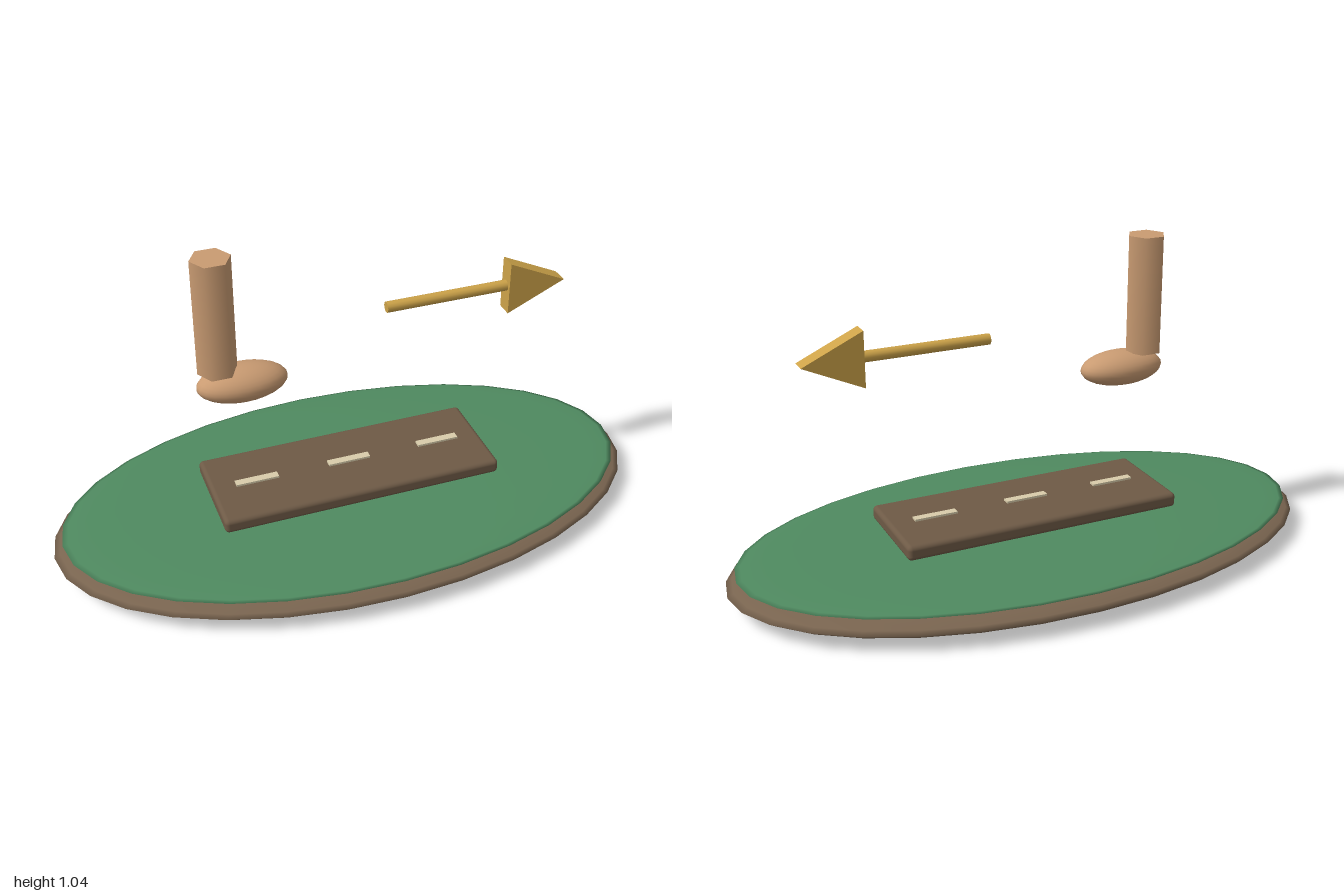
import * as THREE from 'three';
import { RoundedBoxGeometry } from 'three/addons/geometries/RoundedBoxGeometry.js';

const material = (color, flatShading = false) => {
  const m = new THREE.MeshStandardMaterial({ color });
  m.flatShading = flatShading;
  return m;
};

export function createModel() {
  const group = new THREE.Group();
  const soil = material(0x7a6550);
  const grass = material(0x4f8a60);
  const plank = material(0x6e5a46);
  const cream = material(0xd8ccaa);
  const skin = material(0xc99b72);
  const gold = material(0xcda349);
  const goldFlat = material(0xcda349, true);

  const add = (name, geometry, mat, x, y, z = 0) => {
    const mesh = new THREE.Mesh(geometry, mat);
    mesh.name = name;
    mesh.position.set(x, y, z);
    group.add(mesh);
    return mesh;
  };
  const ellipsoid = (rx, ry, rz, w = 32, h = 16) =>
    new THREE.SphereGeometry(1, w, h).scale(rx, ry, rz);

  // Oval ground: earth lens with a thinner grass lens on top
  add('groundBase', ellipsoid(1, 0.06, 0.545), soil, 0, 0.06);
  add('grassTop', ellipsoid(0.97, 0.018, 0.522), grass, 0, 0.104);

  // Path slab with three centre dashes
  add('pathSlab', new RoundedBoxGeometry(0.95, 0.05, 0.345, 3, 0.015), plank, 0, 0.17);
  for (const x of [-0.32, 0, 0.32]) {
    add('pathDash', new THREE.BoxGeometry(0.145, 0.007, 0.026), cream, x, 0.201);
  }

  // Lower leg (six sides, corners facing left and right) and foot
  const leg = new THREE.CylinderGeometry(0.0635, 0.0635, 0.39, 6).rotateY(Math.PI / 2);
  add('leg', leg, skin, -0.428, 0.849);
  add('foot', ellipsoid(0.146, 0.058, 0.078, 24, 16), skin, -0.354, 0.603, 0.01);

  // Arrow pointing to the model's left
  const shaft = new THREE.CylinderGeometry(0.018, 0.018, 0.415, 12).rotateZ(Math.PI / 2);
  add('arrowShaft', shaft, gold, 0.333, 0.767);
  const triangle = new THREE.Shape();
  triangle.moveTo(0, -0.09);
  triangle.lineTo(0.195, 0);
  triangle.lineTo(0, 0.09);
  triangle.closePath();
  const head = new THREE.ExtrudeGeometry(triangle, { depth: 0.056, bevelEnabled: false });
  add('arrowHead', head.translate(0, 0, -0.028), goldFlat, 0.54, 0.766);

  return group;
}
